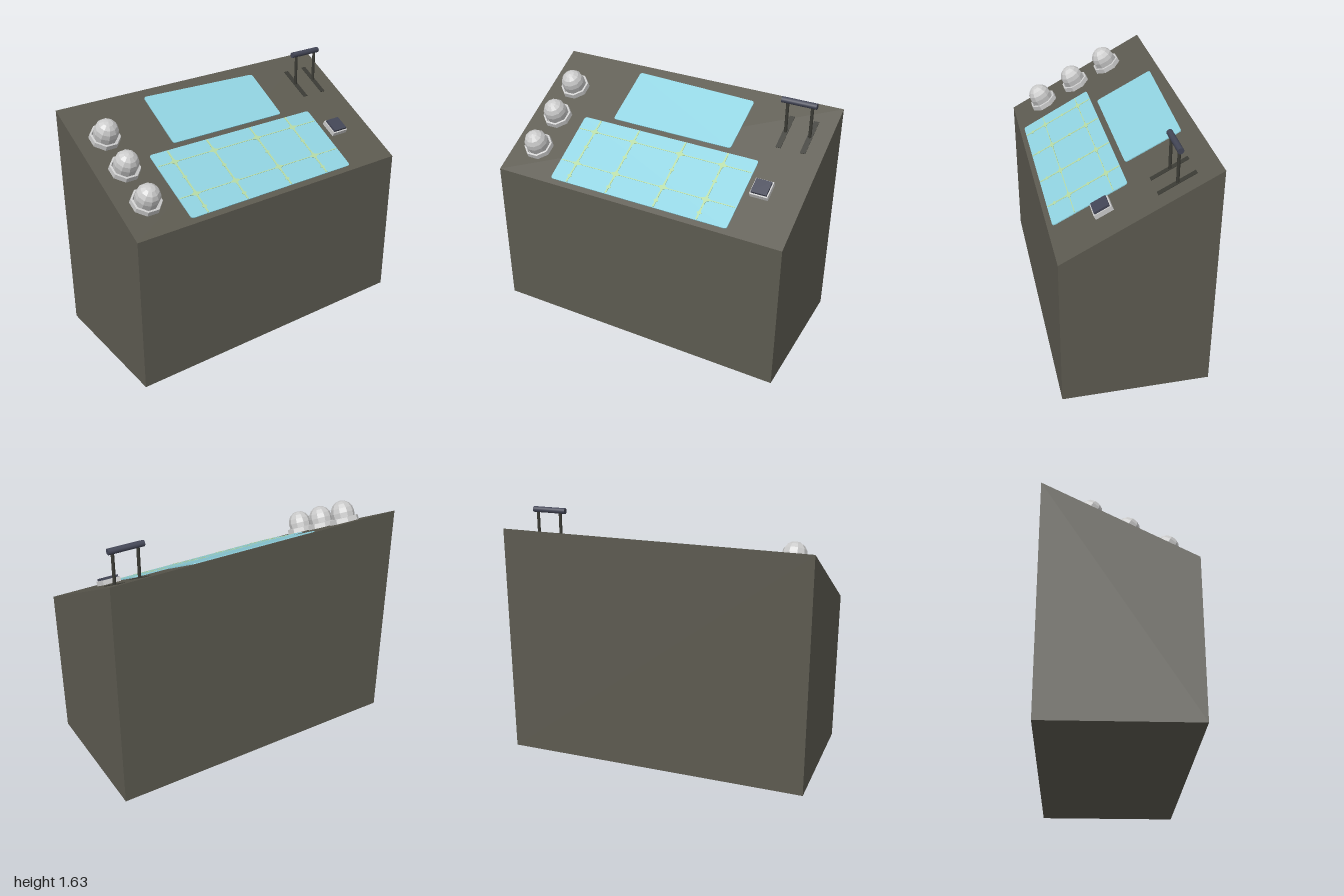
import * as THREE from 'three';

const mat = (name, color, flatShading = false) => {
  const m = new THREE.MeshStandardMaterial({ color, flatShading });
  m.name = name;
  return m;
};

export function createModel() {
  const casing = mat('olive grey casing', 0x5c5a50);
  const glass = mat('pale cyan screen', 0x90d2e0);
  const grid = mat('pale green grid', 0xb4d8a4);
  const metal = mat('light grey', 0xcacaca, true);
  const navy = mat('dark slate', 0x434656);
  const dark = mat('dark grey', 0x3a3a34);

  const model = new THREE.Group();
  model.name = 'controlConsole';
  const add = (parent, name, geo, material, x = 0, y = 0, z = 0) => {
    const mesh = new THREE.Mesh(geo, material);
    mesh.name = name;
    mesh.position.set(x, y, z);
    parent.add(mesh);
    return mesh;
  };

  // Cabinet: side profile swept across the width
  const depth = 0.467, low = 1.02, high = 1.515;
  const side = new THREE.Shape([
    new THREE.Vector2(-depth, 0), new THREE.Vector2(depth, 0),
    new THREE.Vector2(depth, high), new THREE.Vector2(-depth, low),
  ]);
  const body = new THREE.ExtrudeGeometry(side, { depth: 2, bevelEnabled: false });
  body.rotateY(Math.PI / 2).translate(-1, 0, 0);
  add(model, 'cabinet', body, casing);

  // Sloping panel: local y is its normal, local z runs down to the front
  const panel = new THREE.Group();
  panel.name = 'slopingPanel';
  panel.position.y = (low + high) / 2;
  panel.rotation.x = Math.atan2(high - low, 2 * depth);
  model.add(panel);

  // Thin plate from an outline of [x, z] corners, rounded by r
  const plate = (corners, r, thick) => {
    const p = corners.map(([x, z]) => new THREE.Vector2(x, -z));
    const s = new THREE.Shape();
    p.forEach((c, i) => {
      const toward = (q) => q.clone().sub(c).setLength(r).add(c);
      const a = toward(p[(i + p.length - 1) % p.length]);
      const b = toward(p[(i + 1) % p.length]);
      if (i) s.lineTo(a.x, a.y); else s.moveTo(a.x, a.y);
      if (r) s.quadraticCurveTo(c.x, c.y, b.x, b.y);
    });
    s.closePath();
    return new THREE.ExtrudeGeometry(s, { depth: thick, bevelEnabled: false, curveSegments: 4 })
      .rotateX(-Math.PI / 2);
  };

  // Screens, slightly out of square
  add(panel, 'upperScreen', plate(
    [[-0.422, -0.057], [0.43, -0.053], [0.437, -0.437], [-0.415, -0.466]], 0.02, 0.006), glass);
  add(panel, 'lowerScreen', plate(
    [[-0.615, 0.492], [0.635, 0.492], [0.638, -0.014], [-0.622, -0.018]], 0.02, 0.006), glass);

  // Grid lines with four-pointed stars at the crossings
  const star = (rx, rz) => {
    const pts = [];
    for (let i = 0; i < 8; i++) {
      const a = (i * Math.PI) / 4, k = i % 2 ? 0.35 : 1;
      pts.push([Math.cos(a) * rx * k, -Math.sin(a) * rz * k]);
    }
    return plate(pts, 0, 0.002);
  };
  const columns = [-0.495, -0.202, 0.138, 0.434], rows = [0.08, 0.34];
  for (const x of columns) {
    add(panel, 'gridColumn', new THREE.BoxGeometry(0.012, 0.002, 0.5), grid, x, 0.007, 0.237);
    for (const z of rows) add(panel, 'gridStar', star(0.042, 0.05), grid, x, 0.0063, z);
    for (const z of [0.205, 0.44]) add(panel, 'gridDiamond', star(0.018, 0.05), grid, x, 0.0063, z);
  }
  for (const z of rows) {
    add(panel, 'gridRow', new THREE.BoxGeometry(1.24, 0.002, 0.006), grid, 0.008, 0.0066, z);
  }

  // Domed lamps with faceted collars
  const lathe = (pts, n) => new THREE.LatheGeometry(
    pts.map(([r, y]) => new THREE.Vector2(r, y)), n, Math.PI / 8);
  const domePoints = [[0.072, 0], [0.078, 0.066]];
  for (let i = 1; i <= 4; i++) {
    const a = (i * Math.PI) / 8;
    domePoints.push([i === 4 ? 0 : 0.078 * Math.cos(a), 0.066 + 0.08 * Math.sin(a)]);
  }
  for (const z of [-0.231, 0.028, 0.293]) {
    const lamp = new THREE.Group();
    lamp.name = 'domedLamp';
    lamp.position.set(-0.817, 0, z);
    add(lamp, 'collar', lathe([[0.099, 0], [0.096, 0.032], [0.084, 0.034], [0.078, 0.012], [0, 0.012]], 8), metal);
    add(lamp, 'dome', lathe(domePoints, 10), metal);
    panel.add(lamp);
  }

  // Push button
  add(panel, 'buttonBase', new THREE.BoxGeometry(0.118, 0.03, 0.118), metal, 0.737, 0.015, 0.178);
  add(panel, 'buttonCap', new THREE.BoxGeometry(0.102, 0.014, 0.1), navy, 0.737, 0.037, 0.178);

  // Upright lever: two posts in slots, joined by a grip
  for (const x of [0.713, 0.872]) {
    add(panel, 'leverSlot', new THREE.BoxGeometry(0.034, 0.004, 0.25), dark, x, 0.001, -0.267);
    add(model, 'leverPost', new THREE.CylinderGeometry(0.01, 0.01, 0.24, 10), dark, x, 1.49, -0.238);
  }
  const grip = new THREE.CylinderGeometry(0.019, 0.019, 0.226, 12).rotateZ(Math.PI / 2);
  add(model, 'leverGrip', grip, navy, 0.788, 1.607, -0.238);

  return model;
}
